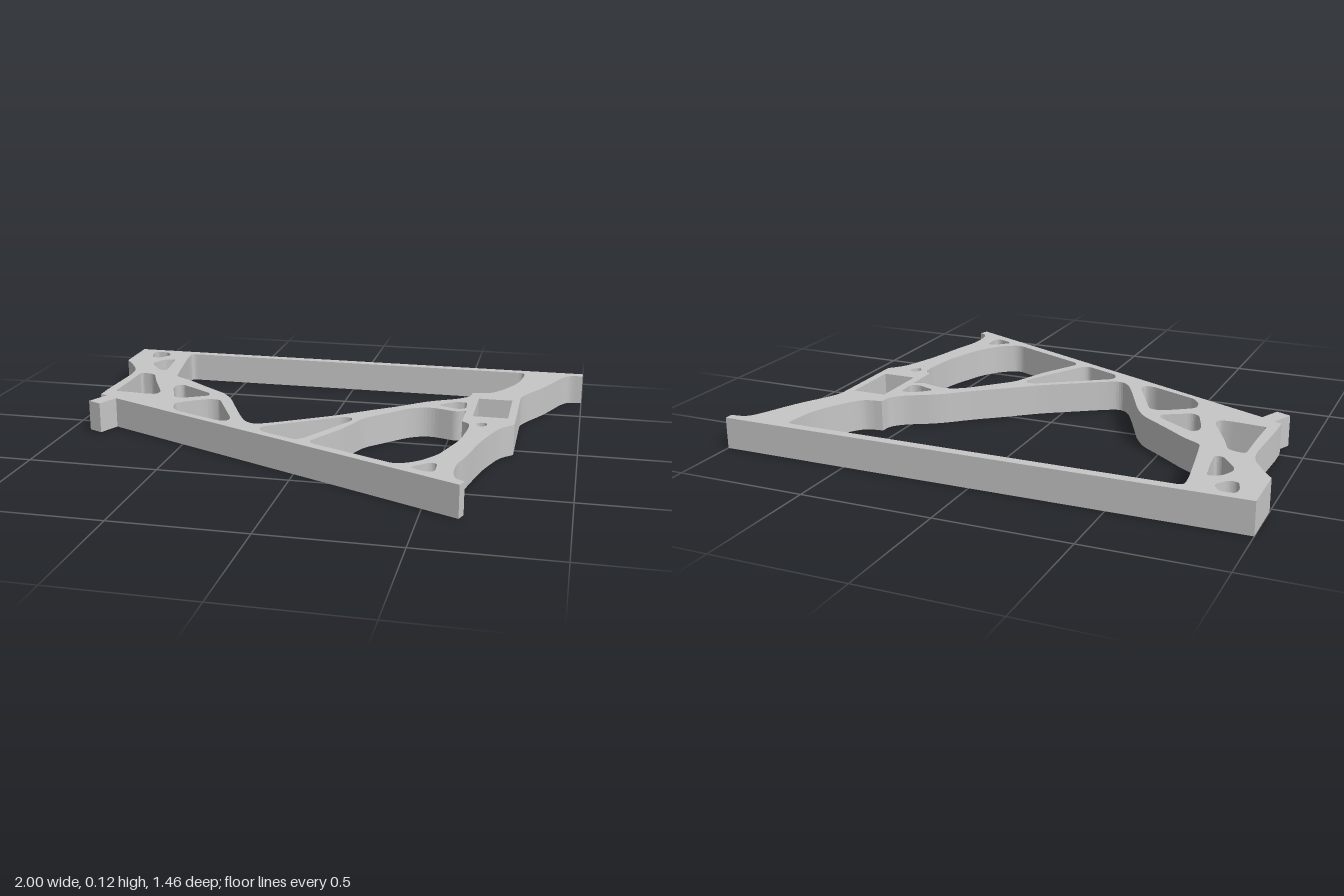
import * as THREE from 'three';

const HEIGHT = 0.12;

// Trace a polygon of [x, z, cornerRadius?] points, softening each corner
function trace(path, pts, radius) {
  const v = pts.map(([x, z]) => new THREE.Vector2(x, -z));
  const n = v.length;
  v.forEach((p, i) => {
    const a = v[(i + n - 1) % n], b = v[(i + 1) % n];
    const r = pts[i][2] ?? radius;
    const toward = (q) => p.clone().lerp(q, Math.min(0.49, r / p.distanceTo(q)));
    const s = toward(a), e = toward(b);
    if (i === 0) path.moveTo(s.x, s.y);
    else path.lineTo(s.x, s.y);
    if (r > 0) path.quadraticCurveTo(p.x, p.y, e.x, e.y);
  });
  path.closePath();
  return path;
}

// Outer edge, counter-clockwise: slanted front edge with a small foot, waisted sides, straight rear rail
const outline = [
  [-1, -0.73], [-1, -0.525], [-0.957, -0.468, 0.03], [-0.91, -0.388, 0.03], [-0.9, -0.32, 0.03],
  [-0.912, -0.07], [-0.912, 0.008], [-0.882, 0.018], [-0.922, 0.107], [-0.867, 0.133],
  [-0.83, 0.05], [0.632, 0.73], [0.645, 0.695], [0.615, 0.68, 0.02], [0.598, 0.635, 0.04],
  [0.598, 0.535, 0.04], [0.622, 0.455, 0.06], [0.66, 0.255, 0.08], [0.713, 0.1, 0.04],
  [0.762, 0.05], [0.762, -0.32, 0.03], [0.785, -0.375, 0.05], [0.85, -0.49, 0.06],
  [0.912, -0.645, 0.05], [0.94, -0.69, 0.03], [1, -0.695], [1, -0.73],
];

const openings = {
  main: [
    [-0.755, -0.692, 0.025], [0.755, -0.692, 0.025], [0.755, -0.645, 0.05], [0.74, -0.53, 0.06],
    [0.69, -0.425, 0.05], [0.645, -0.36, 0.03], [0.61, -0.345, 0.02], [0.565, -0.34, 0],
    [0.562, -0.29, 0.02], [0.52, -0.245, 0.04], [0.405, -0.185, 0.06], [0.3, -0.09, 0.05],
    [0.2, -0.015, 0.05], [0.085, 0.08, 0.05], [-0.14, 0.225, 0.03], [-0.2, 0.255, 0.03],
    [-0.245, 0.222, 0.03], [-0.29, 0.135, 0.03], [-0.375, -0.045, 0.03], [-0.42, -0.11, 0.03],
    [-0.53, -0.195, 0.04], [-0.635, -0.28, 0.04], [-0.698, -0.315, 0.02], [-0.718, -0.425, 0.05],
    [-0.75, -0.62, 0.04],
  ],
  rearCorner: [[-0.925, -0.695], [-0.868, -0.695], [-0.842, -0.648], [-0.875, -0.6], [-0.912, -0.6], [-0.93, -0.66]],
  upperSide: [[-0.798, -0.585], [-0.782, -0.48], [-0.775, -0.4], [-0.805, -0.4], [-0.862, -0.478],
    [-0.872, -0.51], [-0.845, -0.567]],
  lowerSide: [[-0.868, -0.34], [-0.802, -0.33, 0.03], [-0.765, -0.24], [-0.688, -0.085], [-0.69, -0.045],
    [-0.73, -0.04], [-0.872, -0.052, 0.01], [-0.868, -0.19]],
  innerTriangle: [[-0.655, -0.18], [-0.63, -0.2], [-0.483, -0.103], [-0.474, -0.07], [-0.58, -0.01],
    [-0.61, -0.025], [-0.652, -0.14]],
  leftTruss: [[-0.558, 0.042], [-0.46, -0.025, 0.03], [-0.413, -0.02], [-0.302, 0.205], [-0.308, 0.24],
    [-0.345, 0.24], [-0.538, 0.155], [-0.568, 0.112], [-0.575, 0.06]],
  middleTruss: [[-0.155, 0.27], [0.115, 0.092], [0.152, 0.097], [0.154, 0.135], [0.02, 0.38],
    [-0.005, 0.396], [-0.145, 0.333], [-0.163, 0.298]],
  rightTruss: [[0.052, 0.4], [0.138, 0.24], [0.195, 0.09, 0.03], [0.35, -0.075, 0.04], [0.42, -0.105, 0.04],
    [0.53, -0.07, 0.02], [0.565, -0.09, 0.01], [0.565, 0.05, 0], [0.593, 0.07], [0.598, 0.12, 0.03],
    [0.583, 0.27, 0.05], [0.525, 0.45, 0.04], [0.465, 0.535, 0.04], [0.395, 0.576, 0.03], [0.065, 0.426]],
  wedge: [[0.45, -0.145], [0.51, -0.198], [0.558, -0.202], [0.562, -0.118], [0.53, -0.105], [0.465, -0.13]],
  pocket: [[0.598, -0.265, 0], [0.732, -0.265, 0], [0.732, -0.025, 0], [0.598, -0.025, 0]],
  pin: [[0.622, 0.052], [0.658, 0.05], [0.664, 0.078], [0.642, 0.103], [0.62, 0.085]],
  frontCorner: [[0.45, 0.592], [0.508, 0.538], [0.535, 0.542], [0.536, 0.62], [0.515, 0.632], [0.46, 0.608]],
};

export function createModel() {
  const group = new THREE.Group();
  const grey = new THREE.MeshStandardMaterial({ color: 0xc6c6c6 });
  grey.name = 'grey';

  // One flat plate, cut through by all the openings
  const shape = trace(new THREE.Shape(), outline, 0);
  shape.holes = Object.values(openings).map((pts) => trace(new THREE.Path(), pts, 0.018));
  const geometry = new THREE.ExtrudeGeometry(shape, { depth: HEIGHT, bevelEnabled: false, curveSegments: 5 });
  geometry.rotateX(-Math.PI / 2);

  const frame = new THREE.Mesh(geometry, grey);
  frame.name = 'trussFrame';
  group.add(frame);
  return group;
}
